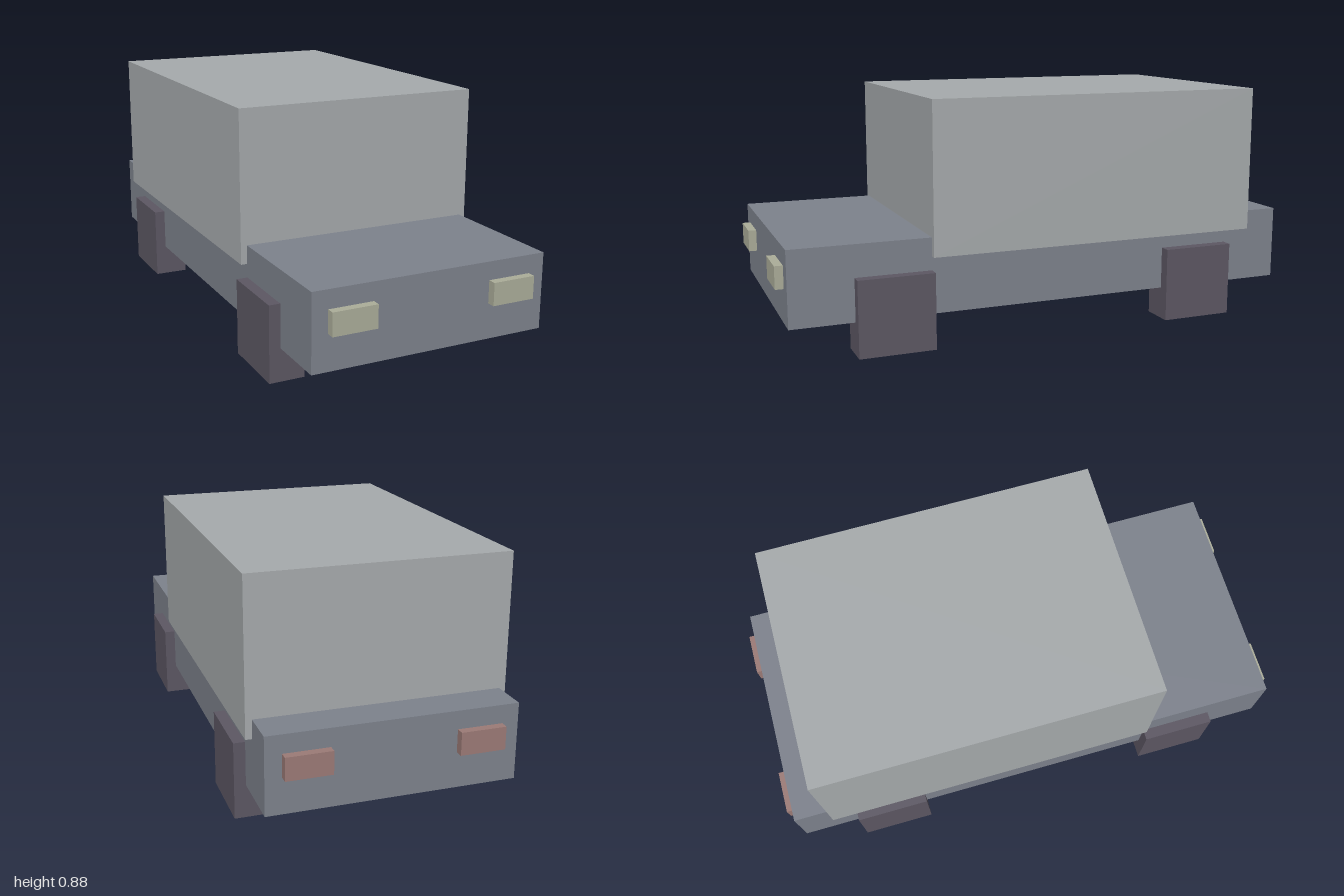
import * as THREE from 'three';

function material(name, color) {
  const m = new THREE.MeshStandardMaterial({ color });
  m.name = name;
  return m;
}

// Box given by its minimum and maximum corners
function box(name, mat, min, max) {
  const size = max.map((v, i) => v - min[i]);
  const mesh = new THREE.Mesh(new THREE.BoxGeometry(...size), mat);
  mesh.position.set(...max.map((v, i) => (v + min[i]) / 2));
  mesh.name = name;
  return mesh;
}

export function createModel() {
  const bodyGrey = material('slate grey', 0x7d828c);
  const cabinGrey = material('light grey', 0xa6aaac);
  const tyreDark = material('dark plum', 0x5c5763);
  const lampCream = material('pale olive', 0xabad99);
  const lampRed = material('dull red', 0x9b7a76);

  const car = new THREE.Group();
  car.name = 'car';

  // Low chassis and the slightly wider cabin, set towards the rear
  car.add(box('body', bodyGrey, [-0.44, 0.12, -0.97], [0.44, 0.396, 0.97]));
  car.add(box('cabin', cabinGrey, [-0.463, 0.328, -0.832], [0.463, 0.88, 0.462]));

  for (const side of [1, -1]) {
    const label = side > 0 ? 'left' : 'right';

    // Block wheels
    for (const [end, z] of [['Front', 0.601], ['Rear', -0.601]]) {
      const wheel = box(label + end + 'Wheel', tyreDark, [0.352, 0, z - 0.139], [0.481, 0.278, z + 0.139]);
      wheel.position.x *= side;
      car.add(wheel);
    }

    // Headlights and tail lights
    const head = box(label + 'Headlight', lampCream, [0.22, 0.248, 0.96], [0.382, 0.33, 1]);
    const tail = box(label + 'TailLight', lampRed, [0.22, 0.248, -1], [0.382, 0.33, -0.96]);
    for (const lamp of [head, tail]) {
      lamp.position.x *= side;
      car.add(lamp);
    }
  }
  return car;
}
